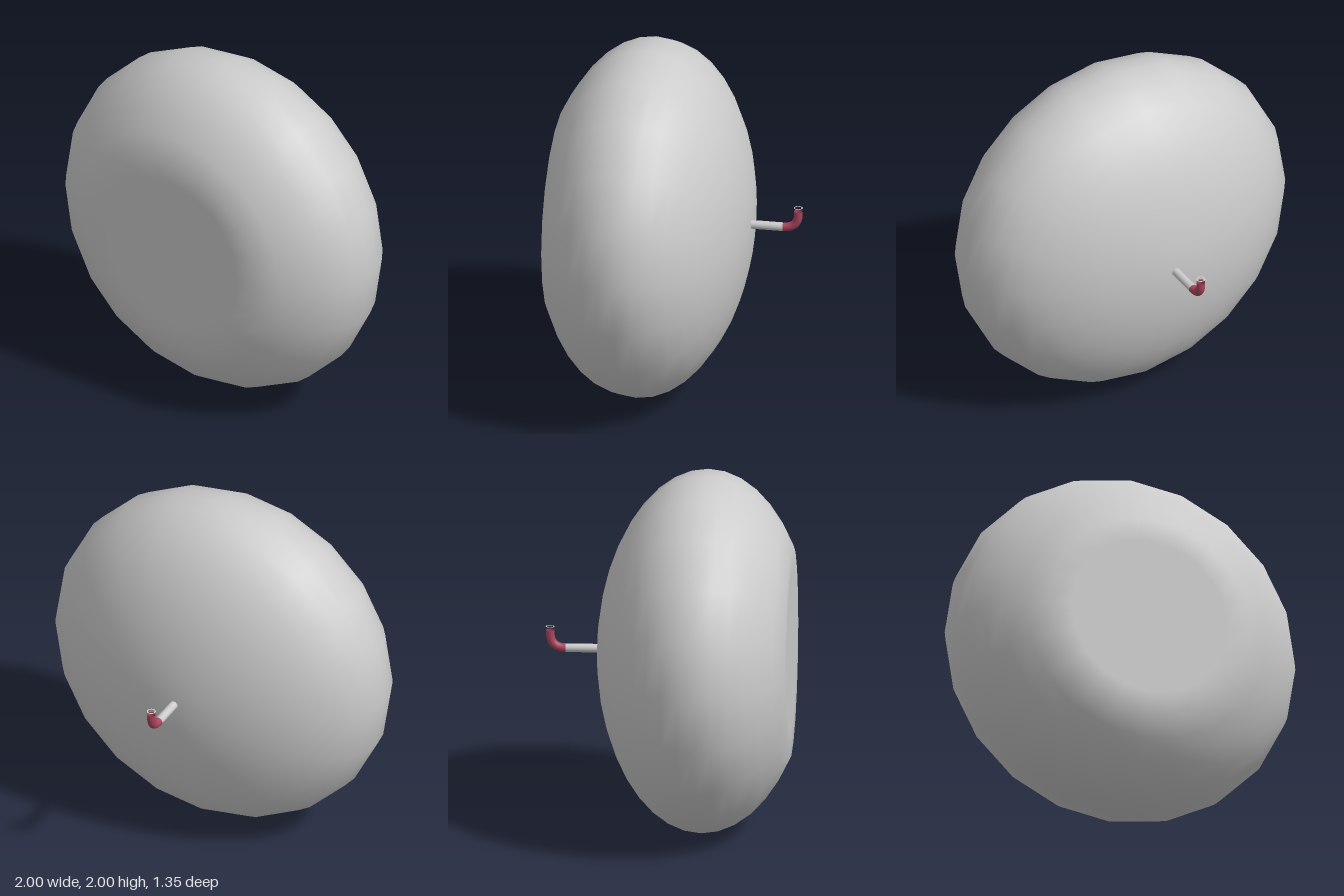
import * as THREE from 'three';

const grey = new THREE.MeshStandardMaterial({ color: 0xcccccc, side: THREE.DoubleSide });
const red = new THREE.MeshStandardMaterial({ color: 0xa8455c, side: THREE.DoubleSide });

function add(group, name, geometry, material) {
  const mesh = new THREE.Mesh(geometry, material);
  mesh.name = name;
  group.add(mesh);
  return mesh;
}

export function createModel() {
  const model = new THREE.Group();
  model.name = 'model';

  // Squashed sphere, its front rings pressed onto one flat plane
  const frontZ = 0.676;
  const body = new THREE.SphereGeometry(1, 20, 20);
  body.rotateX(Math.PI / 2);
  body.scale(1, 1, 0.589);
  body.translate(0, 1, 0.199);
  const p = body.attributes.position;
  for (let i = 0; i < p.count; i++) p.setZ(i, Math.min(p.getZ(i), frontZ));
  body.computeVertexNormals();
  // Match the normals along the seam and at the poles
  const n = body.attributes.normal;
  const a = new THREE.Vector3(), b = new THREE.Vector3();
  for (let row = 0; row <= 20; row++) {
    const first = row * 21, last = first + 20;
    if (row === 0 || row === 20) {
      for (let i = first; i <= last; i++) n.setXYZ(i, 0, 0, row === 0 ? 1 : -1);
    } else {
      a.fromBufferAttribute(n, first).add(b.fromBufferAttribute(n, last)).normalize();
      n.setXYZ(first, a.x, a.y, a.z);
      n.setXYZ(last, a.x, a.y, a.z);
    }
  }
  add(model, 'body', body, grey);

  // Straight stem out of the back
  const y = 1.005, r = 0.024;
  const stem = new THREE.CylinderGeometry(r, r, 0.195, 16);
  stem.rotateX(Math.PI / 2);
  add(model, 'stem', stem, grey).position.set(0, y, -0.4675);

  // Open elbow turning upward
  const path = new THREE.CurvePath();
  path.add(new THREE.QuadraticBezierCurve3(
    new THREE.Vector3(0, y, -0.565),
    new THREE.Vector3(0, y, -0.65),
    new THREE.Vector3(0, y + 0.085, -0.65)));
  path.add(new THREE.LineCurve3(
    new THREE.Vector3(0, y + 0.085, -0.65),
    new THREE.Vector3(0, y + 0.1, -0.65)));
  add(model, 'elbow', new THREE.TubeGeometry(path, 16, r, 16), red);

  // Thin ring hovering over the elbow's mouth
  const ring = new THREE.RingGeometry(0.018, 0.025, 16);
  ring.rotateX(-Math.PI / 2);
  add(model, 'mouthRing', ring, grey).position.set(0, 1.125, -0.65);

  return model;
}
